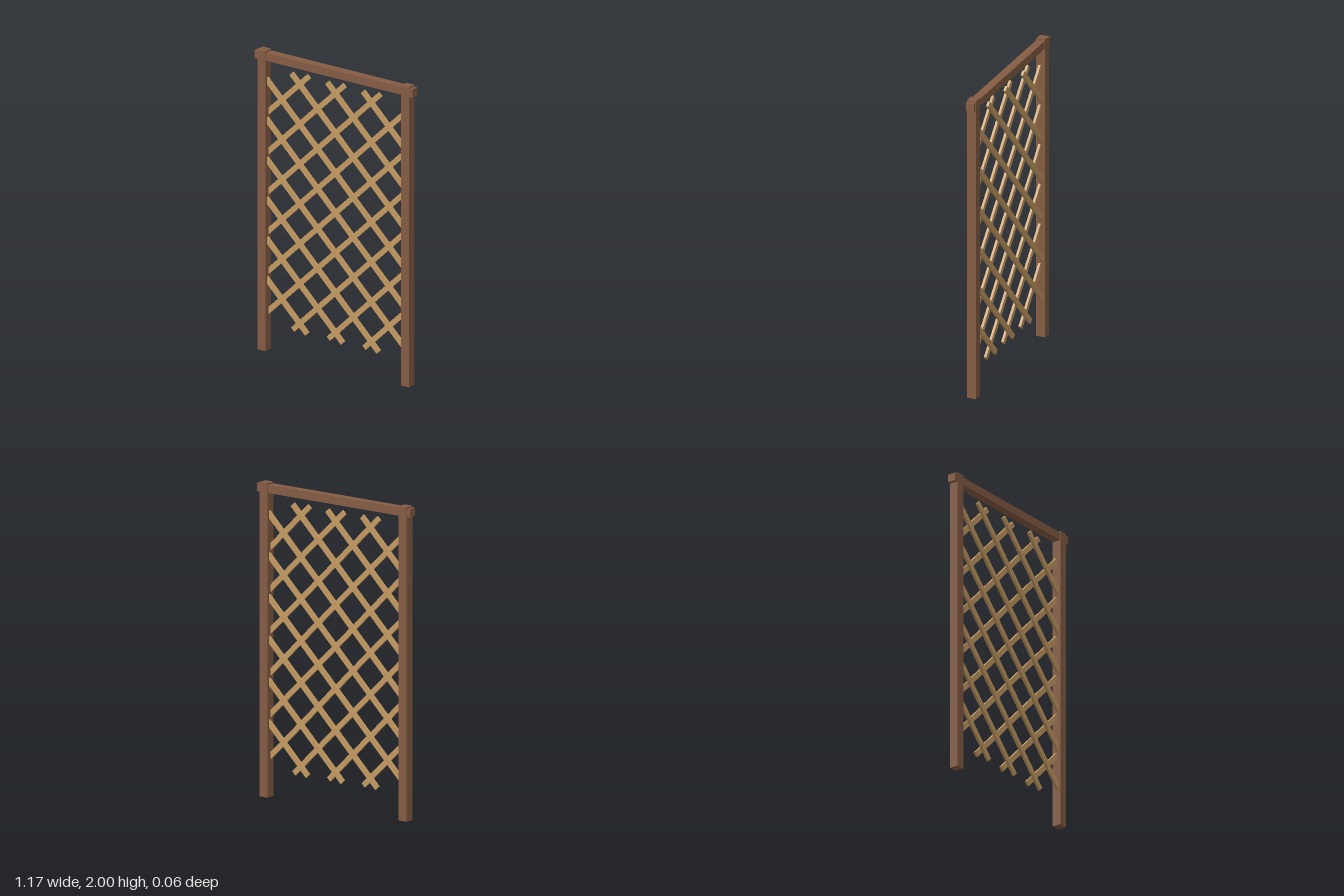
import * as THREE from 'three';

export function createModel() {
  const group = new THREE.Group();
  const darkWood = new THREE.MeshStandardMaterial({ color: 0x855c43 });
  darkWood.name = 'dark wood';
  const lightWood = new THREE.MeshStandardMaterial({ color: 0xc49a62 });
  lightWood.name = 'light wood';

  function addBox(name, material, w, h, d, x, y, z, turn = 0) {
    const mesh = new THREE.Mesh(new THREE.BoxGeometry(w, h, d), material);
    mesh.name = name;
    mesh.position.set(x, y, z);
    mesh.rotation.z = turn;
    group.add(mesh);
  }

  // Frame: two posts and a top rail that runs through them
  addBox('leftPost', darkWood, 0.06, 2, 0.06, 0.533, 1, 0);
  addBox('rightPost', darkWood, 0.06, 2, 0.06, -0.533, 1, 0);
  addBox('topRail', darkWood, 1.174, 0.052, 0.054, 0, 1.964, 0);

  // Diagonal lattice: falling slats in front, rising slats behind,
  // each cut off at the posts or at the top and bottom of the panel
  const bottom = 0.175, top = 1.888, halfWidth = 0.522;
  const spacing = 0.266, middle = 1.031, thickness = 0.016;
  for (let i = -4; i <= 4; i++) {
    const c = middle + i * spacing; // height where the slat crosses x = 0
    const x0 = Math.max(-halfWidth, c - top);
    const x1 = Math.min(halfWidth, c - bottom);
    const length = (x1 - x0) * Math.SQRT2;
    const x = (x0 + x1) / 2;
    addBox('fallingSlat', lightWood, length, 0.034, thickness, x, c - x, thickness / 2, -Math.PI / 4);
    addBox('risingSlat', lightWood, length, 0.034, thickness, -x, c - x, -thickness / 2, Math.PI / 4);
  }
  return group;
}
